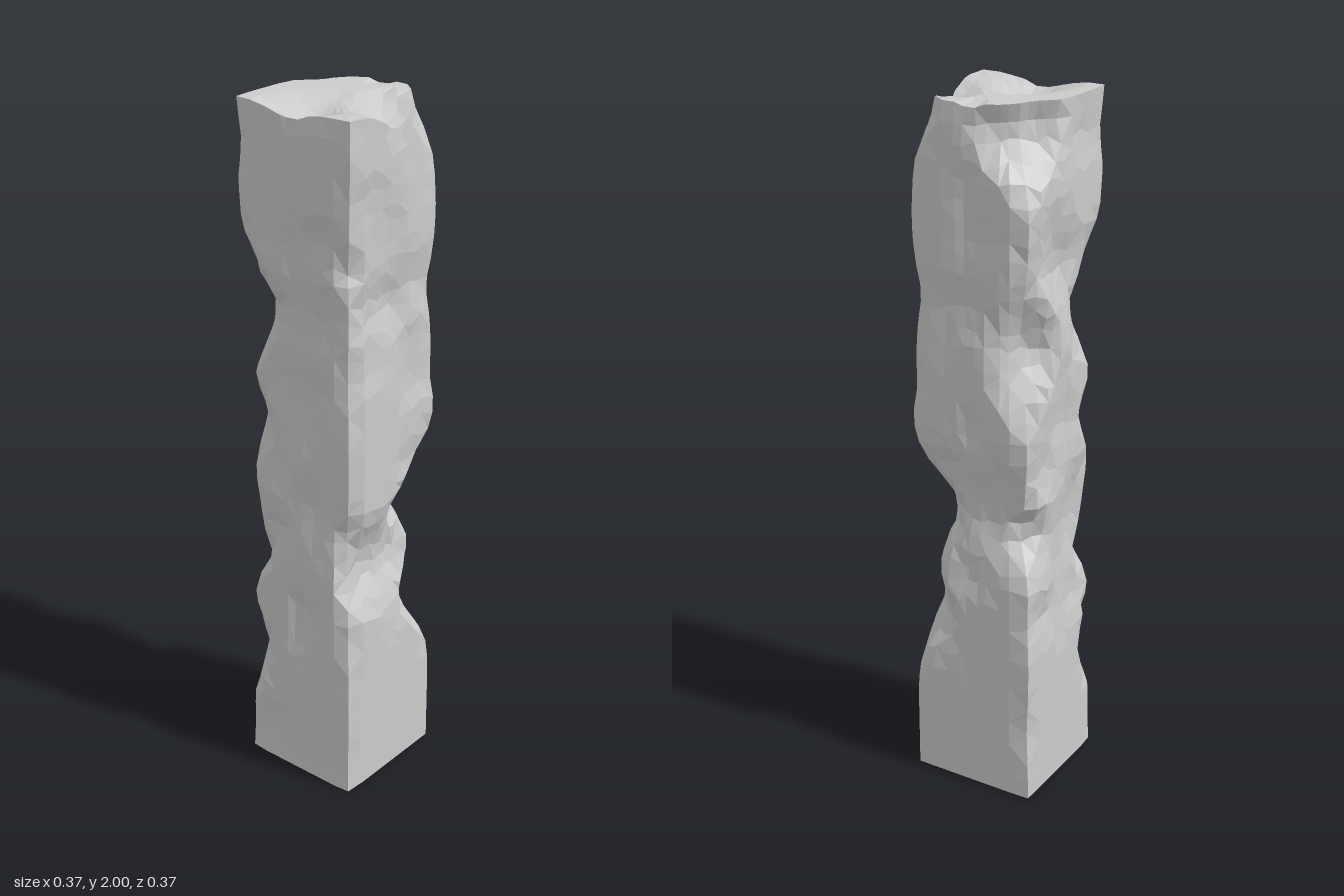
import * as THREE from 'three';

const HALF = 0.187, HEIGHT = 2, SIDES = 36, ROWS = 40;

// Bites worn into each face and corner: [height, depth, spread]
const bites = [
  [[0.86, 0.045, 0.14], [1.5, 0.012, 0.15]], // left face
  [[0.53, 0.105, 0.13], [0.84, 0.14, 0.14], [1.45, 0.035, 0.09], [2, 0.075, 0.14]], // front left corner
  [[0.7, 0.052, 0.12], [1.47, 0.026, 0.07]], // front face
  [[0.5, 0.025, 0.1], [0.82, 0.04, 0.08], [1.3, 0.03, 0.12], [1.6, 0.04, 0.06], [1, 0.014, 0.9]], // front right corner
  [[0.1, 0.012, 0.15], [0.8, 0.008, 0.4], [1.4, 0.02, 0.2]], // right face
  [[0.35, 0.065, 0.13], [0.68, 0.055, 0.08], [1.1, 0.06, 0.12], [1.44, 0.09, 0.15], [0.85, 0.02, 0.5]], // back right corner
  [[0.8, 0.022, 0.15], [1.56, 0.03, 0.08], [1, 0.007, 0.6]], // back face
  [[0.22, 0.025, 0.1], [0.82, 0.095, 0.1], [1.37, 0.105, 0.21], [1.95, 0.13, 0.16], [0.8, 0.01, 0.8]], // back left corner
];

// Distance from the axis to the cutting plane in one of the eight directions
function reach(direction, y) {
  const full = direction % 2 ? HALF * Math.SQRT2 : HALF;
  return bites[direction].reduce((d, [h, depth, spread]) => d - depth * Math.exp(-(((y - h) / spread) ** 2)), full);
}

// Repeatable value in -1..1 for whole-number coordinates
const hash = (x, y, z) => {
  const s = Math.sin(x * 127.1 + y * 311.7 + z * 74.7) * 43758.5453;
  return 2 * (s - Math.floor(s)) - 1;
};

// Smooth value noise
function noise(x, y, z) {
  const [i, j, k] = [x, y, z].map(Math.floor);
  const [u, v, w] = [x - i, y - j, z - k].map((t) => t * t * (3 - 2 * t));
  let sum = 0;
  for (let c = 0; c < 8; c++) {
    const [a, b, d] = [c & 1, (c >> 1) & 1, c >> 2];
    sum += hash(i + a, j + b, k + d) * (a ? u : 1 - u) * (b ? v : 1 - v) * (d ? w : 1 - w);
  }
  return sum;
}

// Point on the rock wall at a given angle and height: the cutting planes are
// blended so worn edges are rounded, then roughened and trimmed to the block
function wallPoint(angle, y) {
  const c = Math.cos(angle), s = Math.sin(angle);
  const box = HALF / Math.max(Math.abs(c), Math.abs(s));
  let sum = 0;
  for (let direction = 0; direction < 8; direction++) {
    const facing = Math.cos(angle - (direction * Math.PI) / 4);
    if (facing > 0.1) sum += (facing / reach(direction, y)) ** 24;
  }
  const rough = 0.018 * THREE.MathUtils.smoothstep(y, 0, 0.6);
  const sharpen = 1.045 - 0.035 * THREE.MathUtils.smoothstep(y, 0.2, 0.6);
  const r = Math.min(box, sharpen * sum ** (-1 / 24) + rough * noise(c * 2.2 + 5, y * 9, s * 2.2 + 5));
  return [r * c, r * s];
}

// Uneven top: high corners, dips near the middle and the front edge
function topHeight(x, z) {
  const dip = (cx, cz) => Math.exp(-((x - cx) ** 2 + (z - cz) ** 2) / 0.006);
  const bump = 0.025 * Math.max(0, noise(x * 12, 3, z * 12));
  const worn = THREE.MathUtils.smoothstep(x + z, -0.34, -0.18);
  return HEIGHT - worn * (0.045 * dip(-0.1, 0) + 0.06 * dip(0.01, 0.17) + bump);
}

function rockGeometry() {
  const positions = [], index = [];
  const angles = Array.from({ length: SIDES }, (_, i) => {
    const jitter = i % (SIDES / 4) ? 0.25 * hash(i, 1, 2) : 0; // keep corners exact
    return Math.PI / 4 + ((i + jitter) / SIDES) * Math.PI * 2;
  });

  // Underside centre
  angles.forEach(() => positions.push(0, 0, 0));

  // Wall rings
  for (let row = 0; row <= ROWS; row++) {
    angles.forEach((angle, i) => {
      const wobble = row > 0 && row < ROWS - 1 ? 0.3 * hash(i, row, 7) : 0;
      let y = ((row + wobble) / ROWS) * HEIGHT;
      const [x, z] = wallPoint(angle, y);
      if (y > 1.85) y -= (HEIGHT - topHeight(x, z)) * ((y - 1.85) / 0.15);
      positions.push(x, y, z);
    });
  }

  // Top rings shrinking to the centre
  for (const scale of [0.8, 0.6, 0.4, 0.2, 0]) {
    for (const angle of angles) {
      const [x, z] = wallPoint(angle, HEIGHT).map((v) => v * scale);
      positions.push(x, topHeight(x, z), z);
    }
  }

  // Join neighbouring rings, alternating the diagonals
  const rings = positions.length / 3 / SIDES;
  for (let row = 0; row < rings - 1; row++) {
    for (let i = 0; i < SIDES; i++) {
      const a = row * SIDES + i, b = row * SIDES + ((i + 1) % SIDES);
      const c = a + SIDES, d = b + SIDES;
      if (row === 0) index.push(a, c, d);
      else if (row === rings - 2) index.push(a, c, b);
      else if ((row + i) % 2) index.push(a, c, b, b, c, d);
      else index.push(a, c, d, a, d, b);
    }
  }

  const geometry = new THREE.BufferGeometry();
  geometry.setAttribute('position', new THREE.Float32BufferAttribute(positions, 3));
  geometry.setIndex(index);
  const faceted = geometry.toNonIndexed();
  faceted.computeVertexNormals();
  return faceted;
}

export function createModel() {
  const group = new THREE.Group();
  group.name = 'rockPillar';
  const material = new THREE.MeshStandardMaterial({ color: 0xcccccc, flatShading: true });
  const rock = new THREE.Mesh(rockGeometry(), material);
  rock.name = 'rockColumn';
  group.add(rock);
  return group;
}
